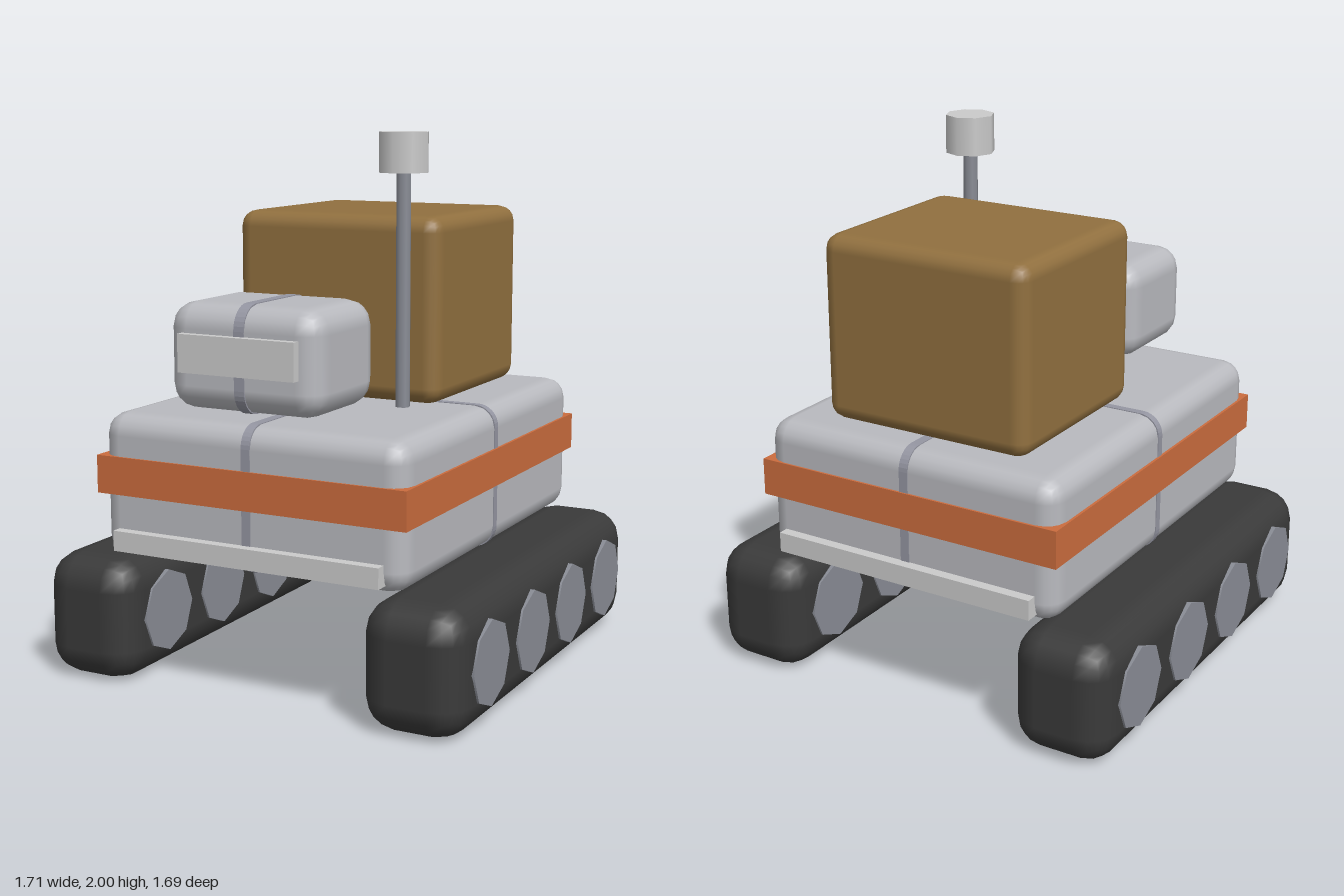
import * as THREE from 'three';
import { RoundedBoxGeometry } from 'three/addons/geometries/RoundedBoxGeometry.js';

const paint = (name, color) => {
  const m = new THREE.MeshStandardMaterial({ color });
  m.name = name;
  return m;
};

// Rounded rectangle outline of half sizes a, b and corner radius r
function roundedRect(path, a, b, r) {
  path.absarc(a - r, b - r, r, 0, Math.PI / 2);
  path.absarc(-a + r, b - r, r, Math.PI / 2, Math.PI);
  path.absarc(-a + r, -b + r, r, Math.PI, Math.PI * 1.5);
  path.absarc(a - r, -b + r, r, Math.PI * 1.5, Math.PI * 2);
  path.closePath();
  return path;
}

// Thin seam strip wrapped around a rounded box
function seamGeometry(a, b, r, width) {
  const shape = roundedRect(new THREE.Shape(), a + 0.003, b + 0.003, r);
  shape.holes.push(roundedRect(new THREE.Path(), a - 0.004, b - 0.004, r));
  const g = new THREE.ExtrudeGeometry(shape, { depth: width, bevelEnabled: false, curveSegments: 4 });
  return g.translate(0, 0, -width / 2);
}

export function createModel() {
  const model = new THREE.Group();
  model.name = 'trackedRover';

  const hullGrey = paint('hullGrey', 0xb9babf);
  const seamGrey = paint('seamGrey', 0x9596a2);
  const rubber = paint('rubber', 0x3a3a3a);
  const wheelGrey = paint('wheelGrey', 0x8a8d96);
  const orange = paint('orange', 0xcb6c3e);
  const cargoBrown = paint('cargoBrown', 0x91703f);
  const trim = paint('trim', 0xcbcbcb);

  function add(name, geometry, material, x, y, z) {
    const mesh = new THREE.Mesh(geometry, material);
    mesh.name = name;
    mesh.position.set(x, y, z);
    model.add(mesh);
    return mesh;
  }
  const rounded = (w, h, d, r) => new RoundedBoxGeometry(w, h, d, 2, r);

  // Hull with orange belt and bumpers
  add('hull', rounded(1.224, 0.53, 1.54, 0.08), hullGrey, 0, 0.735, 0);
  add('hullBelt', new THREE.BoxGeometry(1.244, 0.14, 1.556), orange, 0, 0.775, 0);
  for (const s of [1, -1]) {
    add(s > 0 ? 'frontBumper' : 'rearBumper', new THREE.BoxGeometry(1.07, 0.075, 0.06), trim, 0, 0.542, s * 0.78);
  }

  // Panel seams
  add('hullLengthSeam', seamGeometry(0.77, 0.265, 0.08, 0.035), seamGrey, 0, 0.735, 0).rotation.y = Math.PI / 2;
  add('hullCrossSeam', seamGeometry(0.612, 0.265, 0.08, 0.03), seamGrey, 0, 0.735, 0);
  add('headSeam', seamGeometry(0.2275, 0.19, 0.09, 0.04), seamGrey, 0, 1.235, 0.5775).rotation.y = Math.PI / 2;

  // Sensor head and its front plate
  add('head', rounded(0.61, 0.38, 0.455, 0.09), hullGrey, 0, 1.235, 0.5775);
  add('headPlate', new THREE.BoxGeometry(0.46, 0.135, 0.05), trim, 0, 1.253, 0.81);

  // Cargo crate
  add('cargoBox', rounded(0.846, 0.694, 0.766, 0.06), cargoBrown, 0, 1.348, -0.268);

  // Mast and its cap
  add('mast', new THREE.CylinderGeometry(0.028, 0.028, 0.88, 8), wheelGrey, 0.305, 1.43, 0.155);
  add('mastCap', new THREE.CylinderGeometry(0.094, 0.094, 0.145, 8), trim, 0.305, 1.9275, 0.155);

  // Tracks with four wheels each
  const wheel = new THREE.CylinderGeometry(0.155, 0.155, 0.4, 8).rotateZ(Math.PI / 2);
  for (const s of [1, -1]) {
    const side = s > 0 ? 'left' : 'right';
    add(side + 'Track', rounded(0.385, 0.465, 1.69, 0.12), rubber, s * 0.653, 0.2325, 0);
    for (let i = 0; i < 4; i++) {
      add(side + 'Wheel' + (i + 1), wheel, wheelGrey, s * 0.653, 0.232, 0.578 - i * 0.385);
    }
  }
  return model;
}
